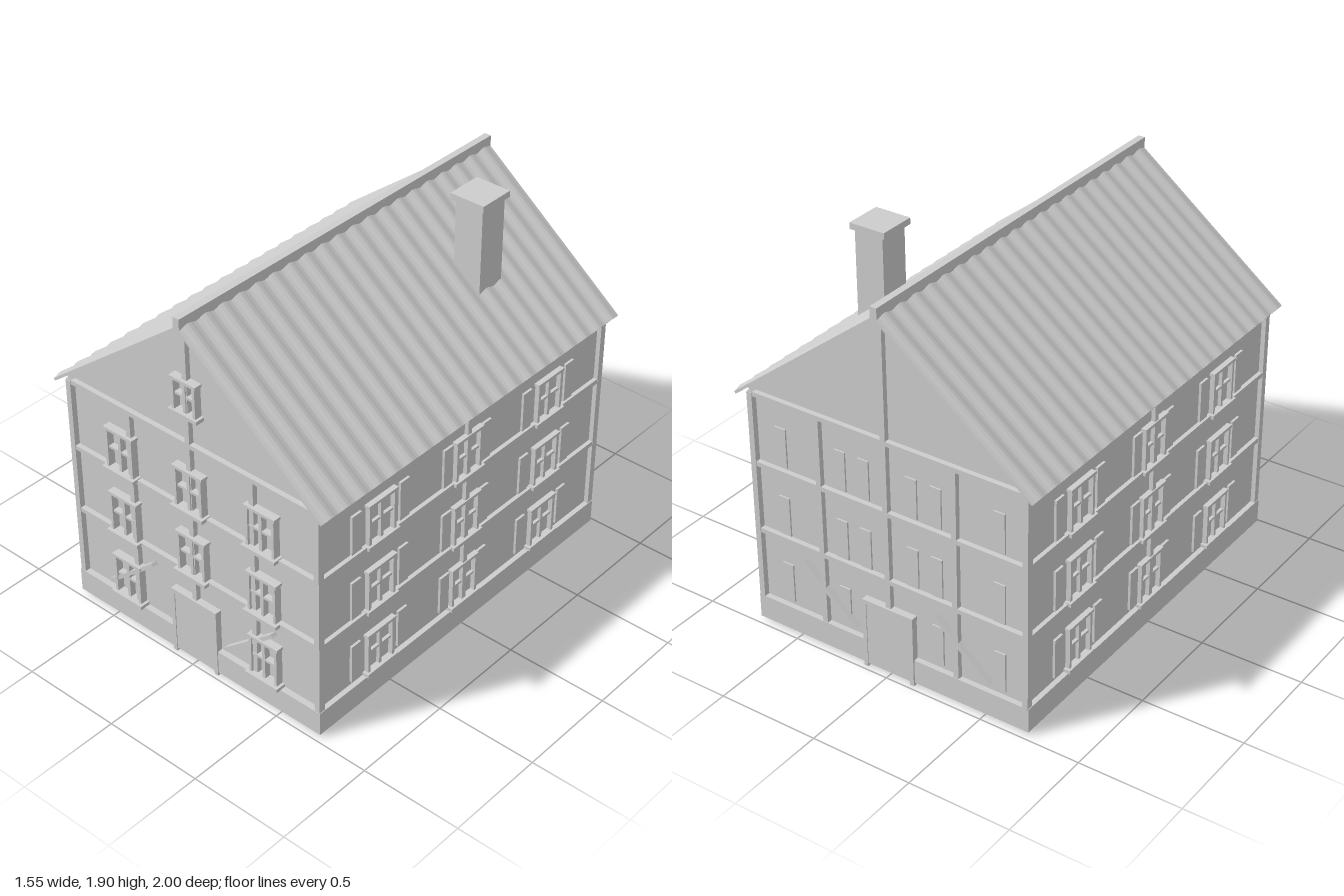
import * as THREE from 'three';

export function createModel() {
  const house = new THREE.Group();
  house.name = 'house';
  const plaster = new THREE.MeshStandardMaterial({ color: 0xcccccc });
  plaster.name = 'light grey';

  const add = (parent, name, geometry) => {
    const mesh = new THREE.Mesh(geometry, plaster);
    mesh.name = name;
    parent.add(mesh);
    return mesh;
  };
  // Box given by its lower and upper corners
  const box = (parent, name, x0, x1, y0, y1, z0, z1) => {
    const mesh = add(parent, name, new THREE.BoxGeometry(x1 - x0, y1 - y0, z1 - z0));
    mesh.position.set((x0 + x1) / 2, (y0 + y1) / 2, (z0 + z1) / 2);
    return mesh;
  };
  // Flat bar running between two points in the xy plane
  const bar = (parent, name, xa, ya, xb, yb, width, z0, z1) => {
    const length = Math.hypot(xb - xa, yb - ya);
    const mesh = add(parent, name, new THREE.BoxGeometry(length, width, z1 - z0));
    mesh.position.set((xa + xb) / 2, (ya + yb) / 2, (z0 + z1) / 2);
    mesh.rotation.z = Math.atan2(yb - ya, xb - xa);
    return mesh;
  };

  // Walls and base
  const outline = new THREE.Shape([
    [-0.705, 0.1], [0.705, 0.1], [0.705, 1.22], [0, 1.77], [-0.705, 1.22],
  ].map(([x, y]) => new THREE.Vector2(x, y)));
  const walls = add(house, 'walls', new THREE.ExtrudeGeometry(outline, { depth: 1.89, bevelEnabled: false }));
  walls.position.z = -0.945;
  box(house, 'base', -0.73, 0.73, 0.015, 0.135, -0.972, 0.975);

  const floors = [0.145, 0.495, 0.845];

  // Window on a wall whose outside faces local +z
  function addWindow(parent, x, y, z, w, h, depth, sillDepth) {
    const g = new THREE.Group();
    g.name = 'window';
    g.position.set(x, y, z);
    const r = w / 2, t = 0.014;
    for (const s of [-1, 1]) {
      const c = s * (r - t / 2);
      box(g, 'windowJamb', c - t / 2, c + t / 2, 0, h, 0, depth);
    }
    box(g, 'windowHead', -r - 0.007, r + 0.007, h - t, h, 0, depth + 0.003);
    box(g, 'windowMullion', -0.008, 0.008, 0, h, 0, depth - 0.006);
    box(g, 'windowTransom', -r, r, h * 0.5 - 0.006, h * 0.5 + 0.006, 0, depth - 0.008);
    box(g, 'windowSill', -r - 0.014, r + 0.014, -0.012, 0.006, 0, sillDepth);
    parent.add(g);
  }

  // Timber frame of a gable end
  function addGable(isFront) {
    const g = new THREE.Group();
    g.name = isFront ? 'frontGable' : 'backGable';
    const z0 = 0.94, z1 = 0.97;
    for (const s of [-1, 1]) {
      box(g, 'post', s * 0.355 - 0.013, s * 0.355 + 0.013, 0.13, 1.18, z0, z1);
      box(g, 'cornerPost', s * 0.713 - 0.014, s * 0.713 + 0.014, 0.13, 1.19, z0, z1 + 0.003);
      bar(g, 'rafter', 0, 1.757, s * 0.71, 1.203, 0.026, z0, z1);
      // Door frame
      box(g, 'doorJamb', s * 0.125 - 0.01, s * 0.125 + 0.01, 0, 0.355, z0 + 0.008, z1 + 0.01);
    }
    box(g, 'doorHead', -0.135, 0.135, 0.333, 0.355, z0, z1 + 0.01);
    box(g, 'door', -0.115, 0.115, 0.016, 0.333, z0, z1 + 0.006);
    box(g, 'centrePost', -0.013, 0.013, 0.35, 1.76, z0, z1);
    for (const y of [0.49, 0.835, 1.185]) {
      box(g, 'beam', -0.725, 0.725, y - 0.011, y + 0.011, z0, z1);
    }
    // Slanted braces lean the same way on both ends
    const m = isFront ? 1 : -1;
    for (const x of [-0.53, 0.18]) {
      bar(g, 'brace', m * x, 0.175, m * (x + 0.28), 0.413, 0.018, z0, z1 + 0.006);
    }
    if (isFront) {
      floors.forEach((y, i) => {
        for (const x of [-0.41, 0, 0.41]) {
          if (i > 0 || x !== 0) addWindow(g, x, y, 0.94, 0.16, 0.213, 0.042, 0.058);
        }
      });
      addWindow(g, 0, 1.35, 0.94, 0.135, 0.168, 0.042, 0.052);
    } else {
      floors.forEach((y, i) => {
        for (const x of [-0.57, -0.25, -0.125, 0.125, 0.25, 0.57]) {
          if (i > 0 || Math.abs(x) > 0.13) {
            box(g, 'shutter', x - 0.029, x + 0.029, y + 0.01, y + 0.205, z0, 0.953);
          }
        }
      });
      g.rotation.y = Math.PI;
    }
    house.add(g);
  }
  addGable(true);
  addGable(false);

  // Timber frame, windows and shutters of a long side
  for (const s of [-1, 1]) {
    const g = new THREE.Group();
    g.name = s > 0 ? 'leftSide' : 'rightSide';
    const z0 = 0.7, z1 = 0.725;
    for (const x of [-0.956, 0.956]) box(g, 'cornerPost', x - 0.016, x + 0.016, 0.13, 1.19, z0, z1 + 0.002);
    box(g, 'centrePost', -0.013, 0.013, 0.13, 1.19, z0, z1);
    for (const y of [0.485, 0.838, 1.18]) box(g, 'beam', -0.968, 0.968, y - 0.012, y + 0.012, z0, z1);
    for (const y of floors) {
      for (const x of [-0.572, 0, 0.572]) {
        addWindow(g, x, y, z0, 0.172, 0.215, 0.028, 0.039);
        const d = x === 0 ? 0.13 : 0.153;
        for (const e of [-d, d]) {
          box(g, 'shutter', x + e - 0.03, x + e + 0.03, y + 0.01, y + 0.207, z0, 0.717);
        }
      }
    }
    g.rotation.y = s * Math.PI / 2;
    house.add(g);
  }

  // Corrugated roof: a wavy strip extruded from eave to ridge
  const wave = [];
  const steps = 120;
  for (let i = 0; i <= steps; i++) {
    const z = -1 + (2 * i) / steps;
    wave.push([z, -0.005 - 0.005 * Math.cos(z * Math.PI * 20)]);
  }
  const strip = new THREE.Shape([
    ...wave.map(([z, h]) => new THREE.Vector2(z, h - 0.013)),
    ...wave.reverse().map(([z, h]) => new THREE.Vector2(z, h)),
  ]);
  const slopeLength = Math.hypot(0.775, 0.605);
  const nx = 0.605 / slopeLength, ny = 0.775 / slopeLength;
  const slope = new THREE.ExtrudeGeometry(strip, { depth: slopeLength, bevelEnabled: false });
  slope.applyMatrix4(new THREE.Matrix4().makeBasis(
    new THREE.Vector3(0, 0, 1), new THREE.Vector3(nx, ny, 0), new THREE.Vector3(-ny, nx, 0),
  ).setPosition(0.777, 1.197, 0));
  add(house, 'roofLeft', slope);
  add(house, 'roofRight', slope).rotation.y = Math.PI;
  box(house, 'ridgeCap', -0.017, 0.017, 1.77, 1.83, -1, 1);

  // Chimney
  box(house, 'chimney', 0.295, 0.44, 1.4, 1.875, -0.553, -0.402);
  box(house, 'chimneyCap', 0.275, 0.455, 1.87, 1.9, -0.568, -0.387);

  return house;
}
